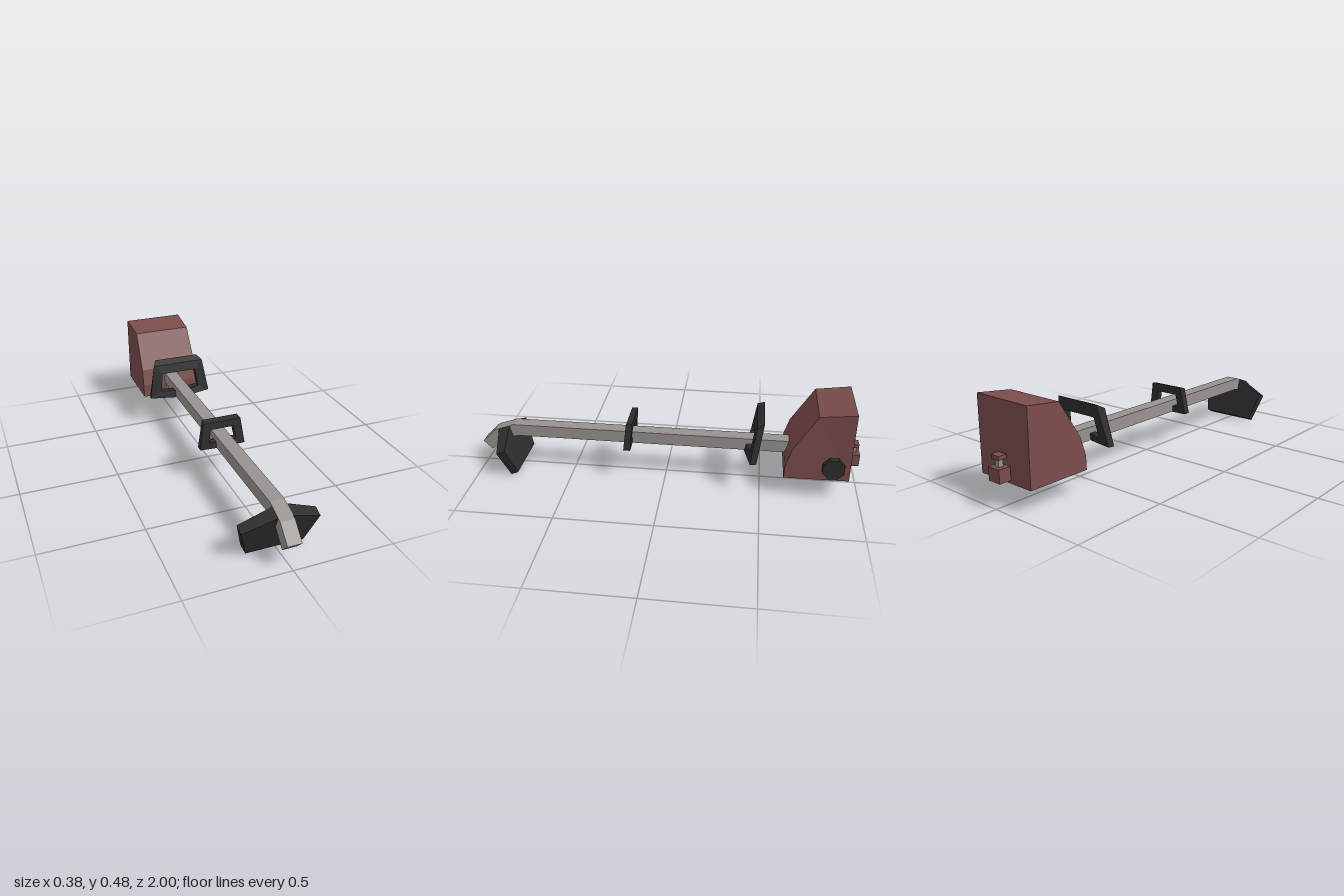
import * as THREE from 'three';
import { ConvexGeometry } from 'three/addons/geometries/ConvexGeometry.js';

const material = (name, color) => {
  const m = new THREE.MeshStandardMaterial({ color, flatShading: true });
  m.name = name;
  return m;
};

// Side profile of [z, y] points, extruded across x
function sideExtrude(points, width) {
  const shape = new THREE.Shape(points.map(([z, y]) => new THREE.Vector2(z, y)));
  const geo = new THREE.ExtrudeGeometry(shape, { depth: width, bevelEnabled: false });
  geo.translate(0, 0, -width / 2);
  geo.rotateY(-Math.PI / 2);
  return geo;
}

// Mirror right-half points (bottom centre first, top last) into a full loop
const mirrorLoop = (half) => [
  ...half,
  ...half.filter((p) => p[0] > 0).reverse().map(([x, y, z]) => [-x, y, z]),
];

// Closed frame between outer and inner loops, each with a front and a back copy
function frameGeometry(outerFront, outerBack, innerFront, innerBack) {
  const [of, ob, nf, nb] = [outerFront, outerBack, innerFront, innerBack].map(mirrorLoop);
  const pos = [];
  const quad = (a, b, c, d) => [a, b, c, a, c, d].forEach((p) => pos.push(...p));
  for (let i = 0; i < of.length; i++) {
    const j = (i + 1) % of.length;
    quad(of[i], of[j], nf[j], nf[i]);
    quad(ob[j], ob[i], nb[i], nb[j]);
    quad(of[i], ob[i], ob[j], of[j]);
    quad(nf[j], nb[j], nb[i], nf[i]);
  }
  const geo = new THREE.BufferGeometry();
  geo.setAttribute('position', new THREE.Float32BufferAttribute(pos, 3));
  geo.computeVertexNormals();
  return geo;
}

export function createModel() {
  const group = new THREE.Group();
  const red = material('dull red housing', 0x7a4c4b);
  const black = material('black plastic', 0x2d2d2d);
  const grey = material('grey metal', 0x98938f);

  const add = (name, geo, mat, x = 0, y = 0, z = 0) => {
    const mesh = new THREE.Mesh(geo, mat);
    mesh.name = name;
    mesh.position.set(x, y, z);
    group.add(mesh);
    return mesh;
  };

  // Square shaft with the bent tip
  add('shaft', sideExtrude([
    [-0.66, 0.18], [0.8, 0.18], [0.885, 0.155], [0.955, 0.086],
    [1.0, 0.134], [0.925, 0.208], [0.82, 0.245], [-0.66, 0.245],
  ], 0.07), grey);

  // Engine housing, slightly pinched at the shoulder and flared at the foot
  const housing = sideExtrude([
    [-0.94, 0.11], [-0.615, 0.11], [-0.618, 0.18], [-0.645, 0.27],
    [-0.76, 0.459], [-0.94, 0.48],
  ], 0.328);
  const p = housing.attributes.position;
  for (let i = 0; i < p.count; i++) {
    const y = p.getY(i);
    if (Math.abs(y - 0.459) < 0.005) p.setX(i, p.getX(i) * 0.965);
    else if (p.getZ(i) > -0.63) p.setX(i, p.getX(i) * 1.02);
  }
  add('engineHousing', housing, red);

  // Starter knob on the left side
  const knob = new THREE.CylinderGeometry(0.058, 0.058, 0.04, 8);
  knob.rotateY(Math.PI / 8);
  knob.rotateZ(Math.PI / 2);
  add('starterKnob', knob, black, 0.17, 0.185, -0.855);

  // Fuel fitting behind the housing
  add('fuelBlock', new THREE.BoxGeometry(0.072, 0.065, 0.062), red, 0, 0.157, -0.969);
  add('fuelNeck', new THREE.BoxGeometry(0.024, 0.04, 0.024), grey, 0, 0.208, -0.969);
  add('fuelCap', new THREE.BoxGeometry(0.052, 0.02, 0.042), red, 0, 0.235, -0.969);

  // Debris guard with a ridged front
  const guardPoints = [
    [0.035, 0.213, 0.905], [0.19, 0.15, 0.873], [0.143, 0, 0.823],
    [0.035, 0.235, 0.845], [0.19, 0.168, 0.828], [0.15, 0.02, 0.783],
  ].flatMap(([x, y, z]) => [new THREE.Vector3(x, y, z), new THREE.Vector3(-x, y, z)]);
  add('guard', new ConvexGeometry(guardPoints), black);

  // Front hand loop
  add('frontHandle', frameGeometry(
    [[0, 0.177, 0.215], [0.12, 0.18, 0.212], [0.1, 0.317, 0.198]],
    [[0, 0.177, 0.178], [0.12, 0.18, 0.176], [0.094, 0.325, 0.165]],
    [[0, 0.212, 0.21], [0.073, 0.212, 0.21], [0.061, 0.281, 0.203]],
    [[0, 0.212, 0.175], [0.073, 0.212, 0.175], [0.061, 0.281, 0.168]],
  ), black);

  // Rear hand loop, its lower bar bowed forward
  add('rearHandle', frameGeometry(
    [[0, 0.177, -0.402], [0.177, 0.178, -0.443], [0.145, 0.363, -0.468]],
    [[0, 0.177, -0.445], [0.172, 0.178, -0.475], [0.125, 0.384, -0.505]],
    [[0, 0.215, -0.412], [0.112, 0.215, -0.44], [0.098, 0.315, -0.455]],
    [[0, 0.215, -0.45], [0.112, 0.215, -0.477], [0.098, 0.315, -0.495]],
  ), black);

  return group;
}
